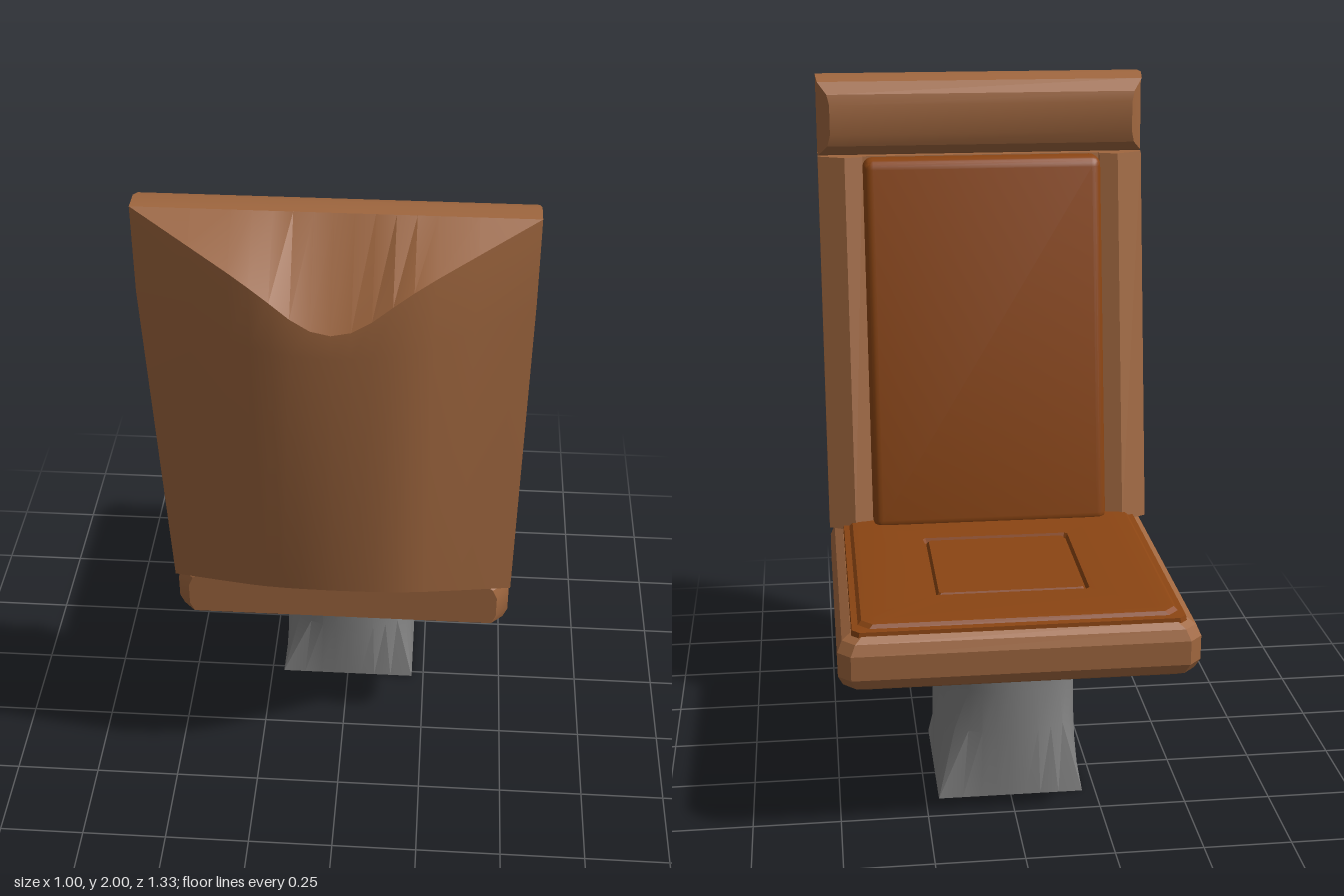
import * as THREE from 'three';
import { toCreasedNormals } from 'three/addons/utils/BufferGeometryUtils.js';
import { RoundedBoxGeometry } from 'three/addons/geometries/RoundedBoxGeometry.js';

const frameMat = new THREE.MeshStandardMaterial({ color: 0xa0673f });
const cushionMat = new THREE.MeshStandardMaterial({ color: 0x8b4513 });
const metalMat = new THREE.MeshStandardMaterial({ color: 0x808080 });

const BASE = 0.635, TOP = 1.76;
// The backrest leans toward +z as it rises
const lean = (y) => (y - BASE) * 0.195;

// Skin through rows of [x, y, z] points; rings run from +x toward +z
function loft(rows, closed = true) {
  const n = rows[0].length, index = [];
  for (let r = 0; r < rows.length - 1; r++) {
    for (let i = 0; i < (closed ? n : n - 1); i++) {
      const j = (i + 1) % n;
      const a = r * n + i, b = r * n + j, c = a + n, d = b + n;
      index.push(a, c, b, b, c, d);
    }
  }
  if (closed) {
    const t = (rows.length - 1) * n;
    for (let i = 1; i < n - 1; i++) index.push(0, i, i + 1, t, t + i + 1, t + i);
  }
  const geo = new THREE.BufferGeometry();
  geo.setAttribute('position', new THREE.Float32BufferAttribute(rows.flat(2), 3));
  geo.setIndex(index);
  return geo;
}

// Rectangle with cut corners at height y
function ring([y, hx, z0, z1, c]) {
  return [
    [hx, z0 + c], [hx, z1 - c], [hx - c, z1], [c - hx, z1],
    [-hx, z1 - c], [-hx, z0 + c], [c - hx, z0], [hx - c, z0],
  ].map(([x, z]) => [x, y, z]);
}

// Upright prism of [x, z] points that follows the lean of the backrest
const leaningPrism = (pts) =>
  loft([BASE, TOP].map((y) => pts.map(([x, z]) => [x, y, z + lean(y)])));

export function createModel() {
  const group = new THREE.Group();
  const add = (name, geo, mat, crease = 0.4) => {
    const mesh = new THREE.Mesh(toCreasedNormals(geo, crease), mat);
    mesh.name = name;
    group.add(mesh);
  };

  // Pedestal: square foot blending into a round neck
  const pedestalRow = ([y, squareness]) => Array.from({ length: 32 }, (_, i) => {
    const a = (i / 32) * Math.PI * 2, c = Math.cos(a), s = Math.sin(a);
    const square = 1 / Math.max(Math.abs(c), Math.abs(s));
    const r = 0.212 * (1 + (square - 1) * squareness);
    return [c * r, y, -0.192 + s * r];
  });
  add('pedestal', loft([[0, 1], [0.2, 0.15], [0.33, 0], [0.42, 0.1], [0.5, 0.35]].map(pedestalRow)), metalMat);

  // Seat base with rounded edges
  add('seatBase', loft([
    [0.478, 0.46, -0.63, 0.265, 0.03],
    [0.49, 0.485, -0.65, 0.28, 0.035],
    [0.52, 0.498, -0.663, 0.28, 0.035],
    [0.59, 0.498, -0.663, 0.28, 0.035],
    [0.62, 0.485, -0.65, 0.28, 0.035],
    [0.636, 0.46, -0.63, 0.28, 0.03],
  ].map(ring)), frameMat);

  // Seat cushion with a seam around the centre panel
  add('seatCushion', loft([
    [0.63, 0.46, -0.632, 0.24, 0.02],
    [0.646, 0.457, -0.63, 0.24, 0.02],
    [0.648, 0.44, -0.612, 0.235, 0.03],
    [0.658, 0.43, -0.605, 0.23, 0.03],
    [0.661, 0.41, -0.585, 0.22, 0.03],
    [0.654, 0.222, -0.418, 0.016, 0.008],
    [0.64, 0.216, -0.411, 0.01, 0.006],
    [0.64, 0.212, -0.407, 0.006, 0.006],
    [0.652, 0.205, -0.4, -0.001, 0.006],
  ].map(ring)), cushionMat);

  // Back core and cushion
  add('backCore', leaningPrism([[0.4, 0.18], [0.4, 0.28], [-0.4, 0.28], [-0.4, 0.18]]), frameMat);
  const pad = new RoundedBoxGeometry(0.73, 1.115, 0.14, 3, 0.03);
  pad.translate(0, 1.2, 0.19);
  const p = pad.attributes.position;
  for (let i = 0; i < p.count; i++) p.setZ(i, p.getZ(i) + lean(p.getY(i)));
  add('backCushion', pad, cushionMat);

  // Faceted side bolsters
  const bolster = [[0.5, 0.19], [0.5, 0.28], [0.365, 0.28], [0.365, 0.165], [0.42, 0.15]];
  add('leftBolster', leaningPrism(bolster), frameMat);
  add('rightBolster', leaningPrism(bolster.map(([x, z]) => [-x, z]).reverse()), frameMat);

  // Headrest: rounded profile across the full width, narrowed at its front
  const profile = [
    [0.5, 2], [0.44, 2], [0.4, 1.985], [0.37, 1.95], [0.362, 1.92],
    [0.362, 1.83], [0.372, 1.795], [0.4, 1.768], [0.44, 1.758], [0.5, 1.758],
  ];
  const head = new THREE.ExtrudeGeometry(
    new THREE.Shape(profile.map(([z, y]) => new THREE.Vector2(-z, y))),
    { depth: 1, bevelEnabled: false });
  head.translate(0, 0, -0.5).rotateY(Math.PI / 2);
  const h = head.attributes.position;
  for (let i = 0; i < h.count; i++) {
    const taper = Math.max(0, 0.405 - h.getZ(i)) * 0.9;
    h.setX(i, h.getX(i) - Math.sign(h.getX(i)) * taper);
  }
  add('headrest', head, frameMat);

  // Rear shell: [x, bulge, height of the top cut]
  const half = [
    [0.5, 0, 2], [0.35, 0.46, 1.937], [0.25, 0.75, 1.893], [0.2, 0.86, 1.865],
    [0.15, 0.93, 1.83], [0.1, 0.97, 1.79], [0.05, 0.99, 1.76], [0, 1, 1.75],
  ];
  const stations = [...half, ...half.slice(0, -1).reverse().map(([x, f, y]) => [-x, f, y])];
  const shell = loft([
    stations.map(([x]) => [x, BASE, 0.28]),
    stations.map(([x, f]) => [x, BASE + 0.19 * f, 0.28 + 0.26 * f]),
    stations.map(([x, f]) => [x, TOP - 0.075 * f, 0.5 + 0.165 * f]),
    stations.map(([x, f, y]) => [x, y, 0.5 + 0.16 * f]),
    stations.map(([x]) => [x, 2, 0.5]),
  ], false);
  add('backShell', shell, frameMat, 0.3);

  return group;
}
